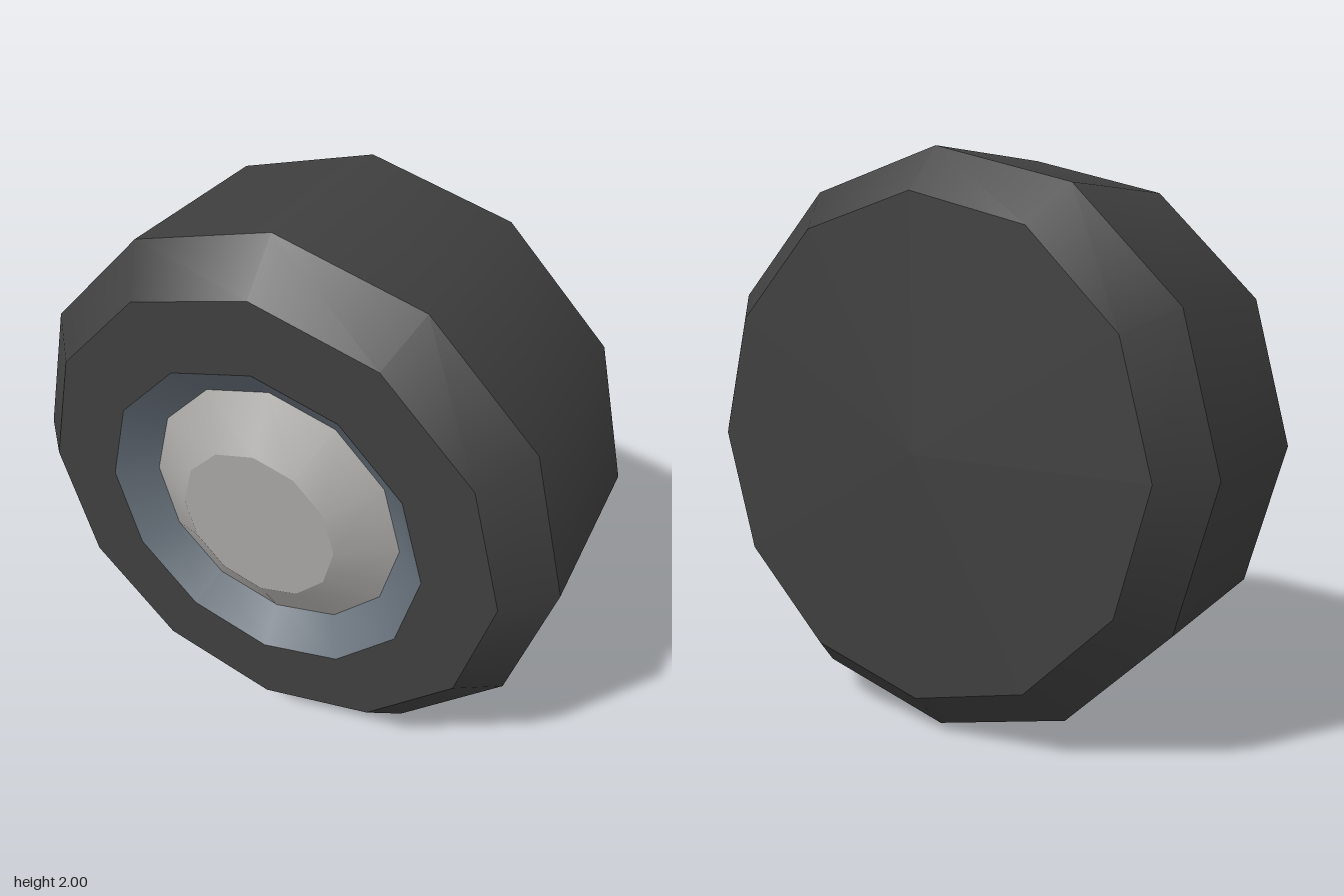
import * as THREE from 'three';

const SIDES = 12;

export function createModel() {
  const tyre = new THREE.MeshStandardMaterial({ name: 'tyre black', color: 0x3f3f3f });
  const rim = new THREE.MeshStandardMaterial({ name: 'rim blue grey', color: 0x66707a });
  const hub = new THREE.MeshStandardMaterial({ name: 'hub light grey', color: 0xa8a6a3 });

  const wheel = new THREE.Group();
  wheel.name = 'wheel';
  wheel.position.y = 1;

  // One ring of the wheel, smooth around the axle with crisp edges to its neighbours
  const band = (name, material, [r0, z0], [r1, z1]) => {
    const geometry = new THREE.LatheGeometry(
      [new THREE.Vector2(r0, z0), new THREE.Vector2(r1, z1)], SIDES);
    geometry.rotateX(Math.PI / 2);
    const mesh = new THREE.Mesh(geometry, material);
    mesh.name = name;
    wheel.add(mesh);
  };

  // Profile as [radius, z], from the centre of the back to the centre of the front
  const profile = [
    [0, -0.49], [0.85, -0.49], [1, -0.34], [1, 0.33], [0.85, 0.48],
    [0.595, 0.48], [0.475, 0.38], [0.29, 0.49], [0, 0.49],
  ];
  const parts = [
    ['backWall', tyre], ['backShoulder', tyre], ['tread', tyre], ['frontShoulder', tyre],
    ['frontWall', tyre], ['rimRecess', rim], ['hubCone', hub], ['hubCap', hub],
  ];
  parts.forEach(([name, material], i) => band(name, material, profile[i], profile[i + 1]));

  const model = new THREE.Group();
  model.name = 'wheelModel';
  model.add(wheel);
  return model;
}
